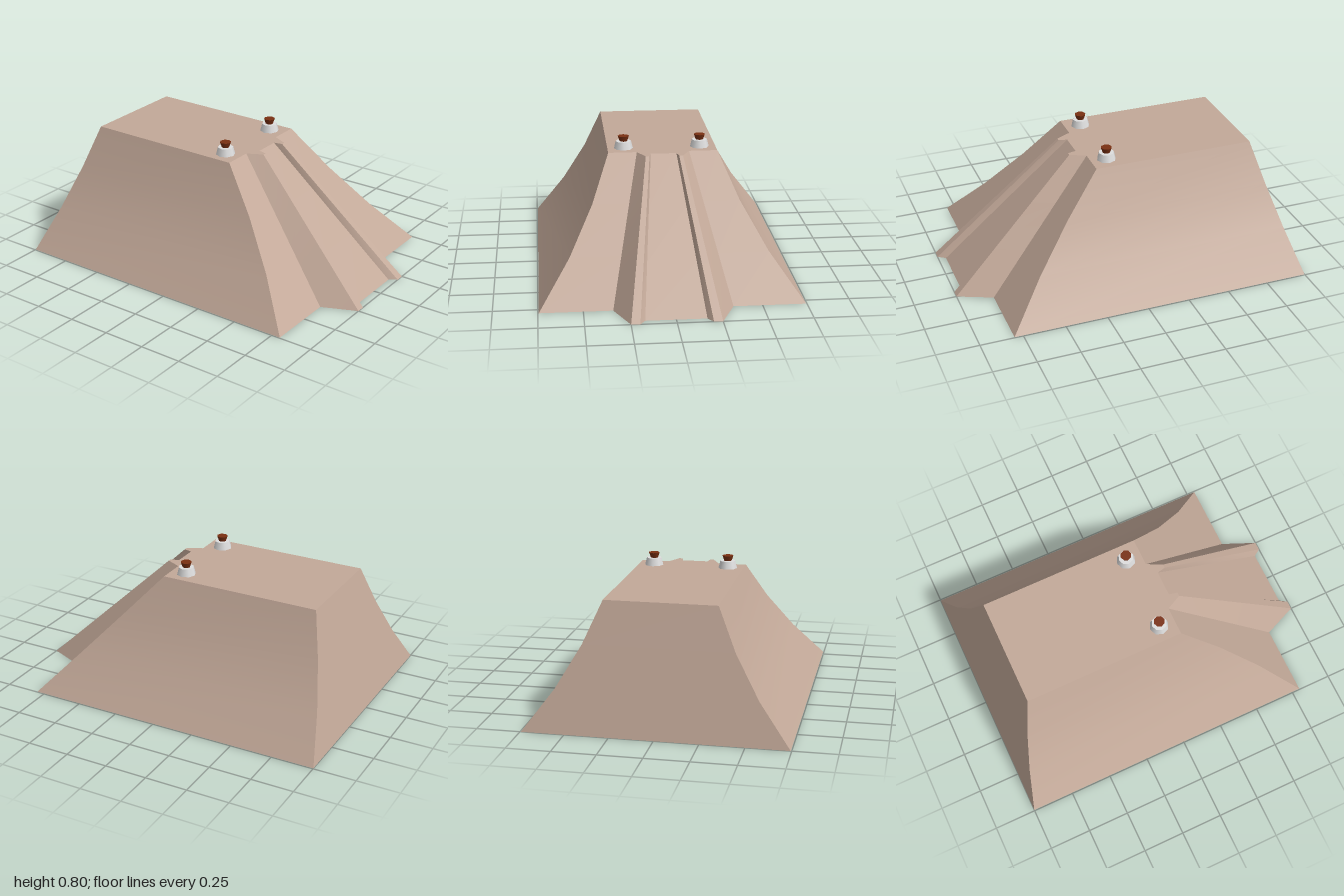
import * as THREE from 'three';

const HEIGHT = 0.72;
const ROWS = 3;
const lerp = THREE.MathUtils.lerp;

// Half width of the flared body at each row, ground to top
const FLARE = [0.745, 0.565, 0.425, 0.32];

// Right half of the front outline (x, z), from the corner to the middle panel
const FRONT_BASE = [[0.335, 0.8], [0.25, 1.0], [0.2, 1.0], [0.17, 0.955]];
const FRONT_TOP = [[0.153, 0.16], [0.108, 0.25], [0.086, 0.25], [0.075, 0.2]];

// Closed outline of one row: back left corner, round the front, back right corner
function outline(row) {
  const t = row / ROWS;
  const half = [
    [FLARE[row], lerp(-1, -0.8, t)],
    [FLARE[row], lerp(0.8, 0.16, t)],
    ...FRONT_BASE.map(([x, z], i) => [lerp(x, FRONT_TOP[i][0], t), lerp(z, FRONT_TOP[i][1], t)]),
  ];
  const mirrored = half.map(([x, z]) => [-x, z]);
  return [...mirrored, ...half.reverse()];
}

// One wall panel between two neighbouring outline points, smooth up its height
function panelGeometry(rings, i) {
  const pos = [], index = [];
  rings.forEach((ring, r) => {
    for (const [x, z] of [ring[i], ring[(i + 1) % ring.length]]) {
      pos.push(x, (HEIGHT * r) / ROWS, z);
    }
  });
  for (let r = 0; r < ROWS; r++) {
    const a = r * 2;
    index.push(a, a + 1, a + 3, a, a + 3, a + 2);
  }
  const g = new THREE.BufferGeometry();
  g.setAttribute('position', new THREE.Float32BufferAttribute(pos, 3));
  g.setIndex(index);
  g.computeVertexNormals();
  return g;
}

export function createModel() {
  const model = new THREE.Group();
  model.name = 'hollowMound';

  const clay = new THREE.MeshStandardMaterial({ color: 0xc2a898, side: THREE.DoubleSide });
  clay.name = 'clay';
  const white = new THREE.MeshStandardMaterial({ color: 0xdedede });
  white.name = 'white';
  const rust = new THREE.MeshStandardMaterial({ color: 0x7a3012 });
  rust.name = 'rust';

  const add = (parent, name, geometry, material, y = 0) => {
    const mesh = new THREE.Mesh(geometry, material);
    mesh.name = name;
    mesh.position.y = y;
    parent.add(mesh);
    return mesh;
  };

  // Hollow shell, open underneath
  const shell = new THREE.Group();
  shell.name = 'shell';
  const rings = [0, 1, 2, 3].map(outline);
  rings[0].forEach((_, i) => add(shell, 'wallPanel' + i, panelGeometry(rings, i), clay));

  // Flat top following the ridged outline
  const topShape = new THREE.Shape(rings[ROWS].map(([x, z]) => new THREE.Vector2(x, -z)));
  add(shell, 'topPlate', new THREE.ShapeGeometry(topShape).rotateX(-Math.PI / 2), clay, HEIGHT);
  model.add(shell);

  // Pair of knobs on the top: tapered white base with a flared rust cap
  for (const side of [-1, 1]) {
    const knob = new THREE.Group();
    knob.name = side > 0 ? 'leftKnob' : 'rightKnob';
    knob.position.set(side * 0.225, HEIGHT, 0.065);
    add(knob, 'knobBase', new THREE.CylinderGeometry(0.045, 0.056, 0.044, 8), white, 0.022);
    add(knob, 'knobCap', new THREE.CylinderGeometry(0.033, 0.022, 0.032, 8), rust, 0.059);
    model.add(knob);
  }
  return model;
}
